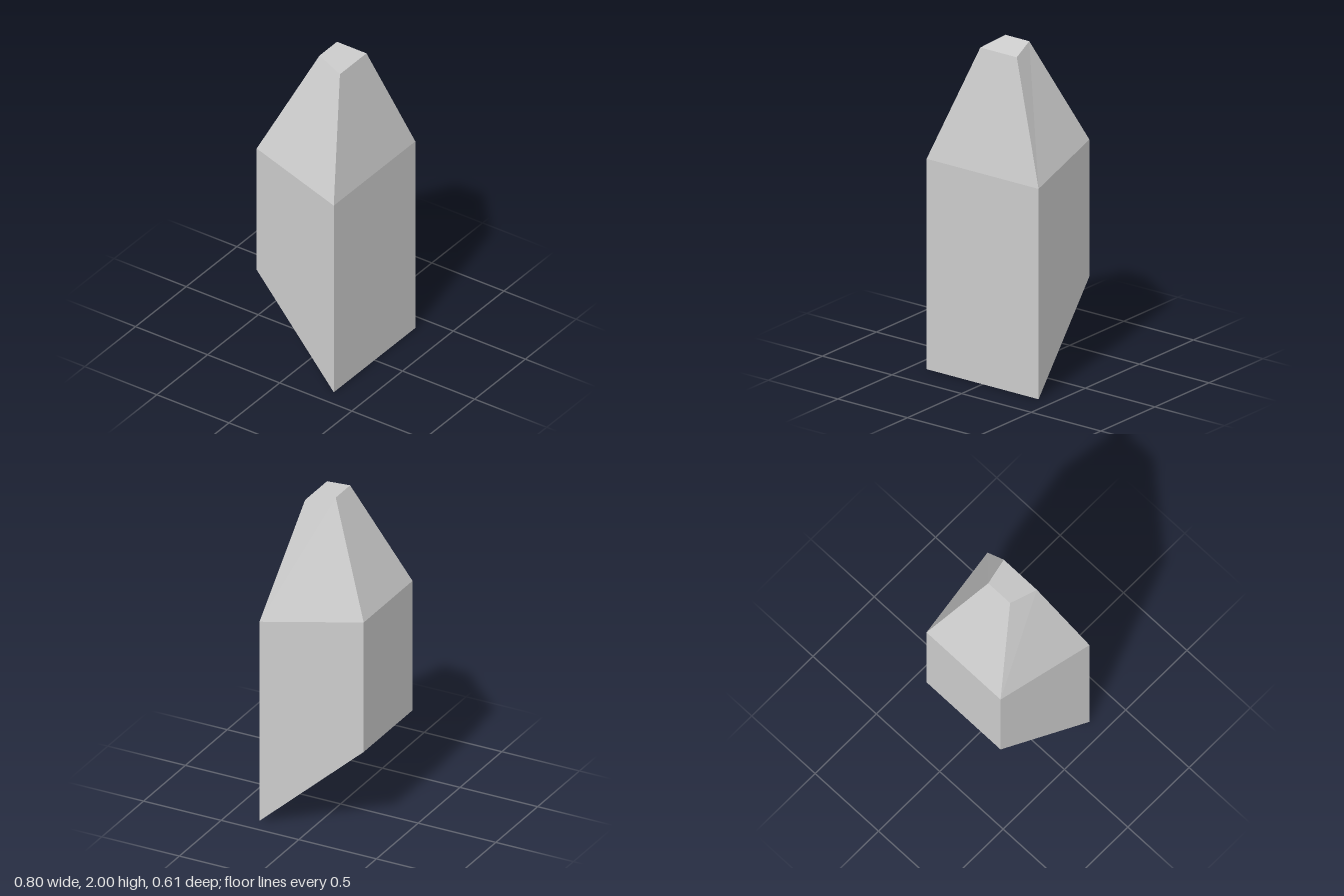
import * as THREE from 'three';

// Trapezoid ring, counterclockwise from above: half-width, height and depth at front and back
function ring([fx, fy, fz], [bx, by, bz]) {
  return [[-fx, fy, fz], [fx, fy, fz], [bx, by, bz], [-bx, by, bz]];
}

// Faceted solid joining a stack of rings, with both ends capped
function loft(rings) {
  const pos = [];
  const quad = (a, b, c, d) => pos.push(...a, ...b, ...c, ...a, ...c, ...d);
  for (let r = 0; r < rings.length - 1; r++) {
    const lo = rings[r], hi = rings[r + 1];
    for (let i = 0; i < 4; i++) {
      const j = (i + 1) % 4;
      quad(lo[i], lo[j], hi[j], hi[i]);
    }
  }
  quad(...rings[rings.length - 1]);
  quad(...[...rings[0]].reverse());
  const geo = new THREE.BufferGeometry();
  geo.setAttribute('position', new THREE.Float32BufferAttribute(pos, 3));
  geo.computeVertexNormals();
  return geo;
}

export function createModel() {
  const group = new THREE.Group();
  group.name = 'taperedBlock';
  const grey = new THREE.MeshStandardMaterial({ color: 0xcccccc });
  grey.name = 'light grey';

  // Slanted base, sloping shoulder line and tilted tip
  const body = new THREE.Mesh(loft([
    ring([0.402, 0, 0.306], [0.292, 0.54, -0.306]),
    ring([0.402, 1.272, 0.306], [0.292, 1.367, -0.306]),
    ring([0.131, 1.963, 0.158], [0.086, 2, -0.015]),
  ]), grey);
  body.name = 'body';
  group.add(body);
  return group;
}
